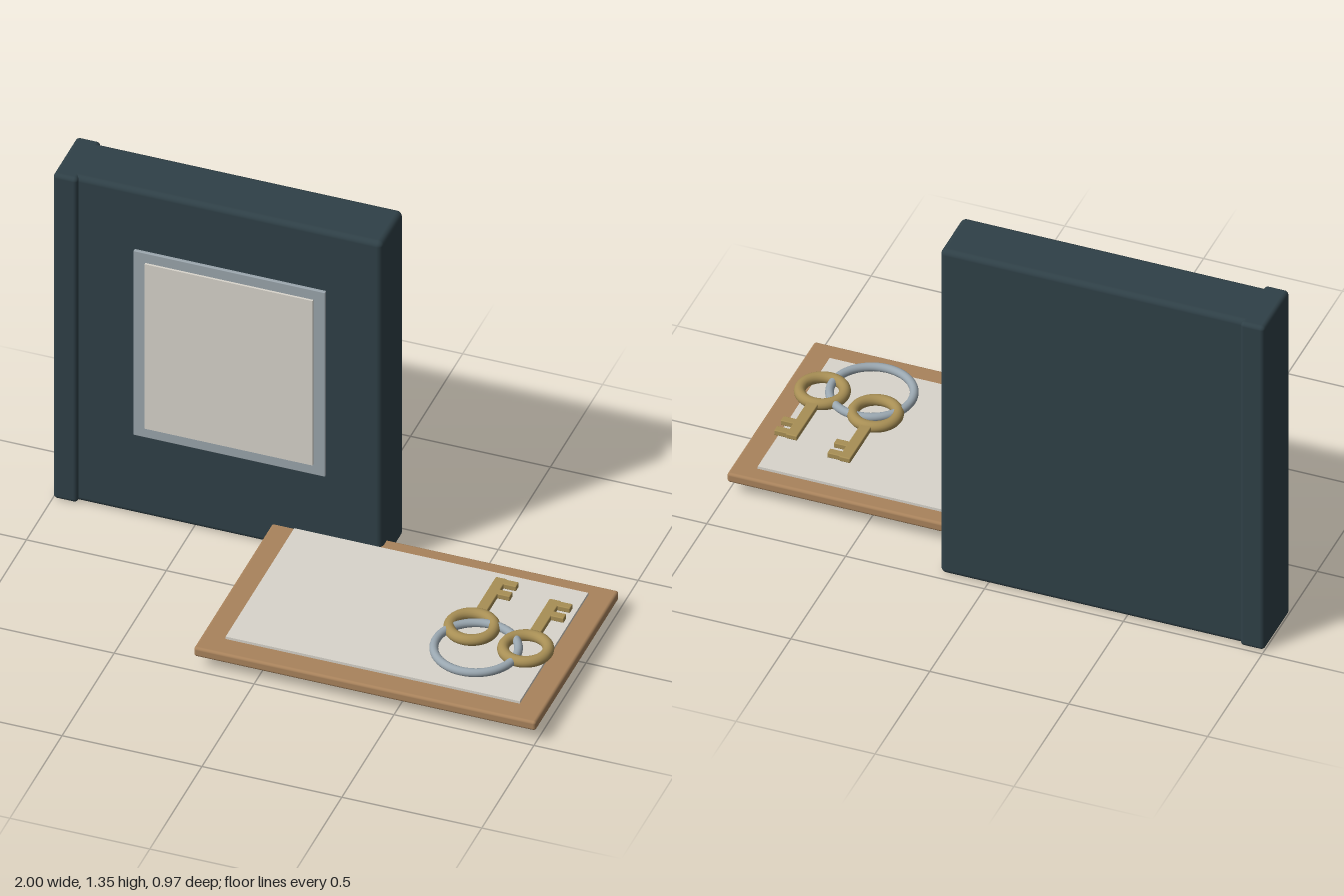
import * as THREE from 'three';
import { RoundedBoxGeometry } from 'three/addons/geometries/RoundedBoxGeometry.js';

const material = (color) => new THREE.MeshStandardMaterial({ color });
const coverMat = material(0x2f4047);
const frameMat = material(0x9aa5ac);
const paperMat = material(0xd8d4cb);
const woodMat = material(0xa9835c);
const steelMat = material(0x9aa7b0);
const brassMat = material(0xa88f55);

// Box from its extents [min, max] on each axis, with optional rounded edges
function box(name, mat, [x0, x1], [y0, y1], [z0, z1], radius = 0) {
  const size = [x1 - x0, y1 - y0, z1 - z0];
  const geometry = radius ? new RoundedBoxGeometry(...size, 3, radius) : new THREE.BoxGeometry(...size);
  const mesh = new THREE.Mesh(geometry, mat);
  mesh.name = name;
  mesh.position.set((x0 + x1) / 2, (y0 + y1) / 2, (z0 + z1) / 2);
  return mesh;
}

// Ring lying flat
function flatRing(name, mat, radius, tube) {
  const mesh = new THREE.Mesh(new THREE.TorusGeometry(radius, tube, 16, 56), mat);
  mesh.name = name;
  mesh.rotation.x = -Math.PI / 2;
  return mesh;
}

// Key centred on its bow, shaft pointing to -z, teeth to +x
function createKey(name, x, z) {
  const key = new THREE.Group();
  key.name = name;
  key.position.set(x, 0.136, z);
  key.add(flatRing('keyBow', brassMat, 0.076, 0.02));
  key.add(box('keyShaft', brassMat, [-0.02, 0.02], [-0.01, 0.01], [-0.283, -0.07], 0.004));
  for (const toothZ of [-0.265, -0.205]) {
    key.add(box('keyTooth', brassMat, [0.01, 0.064], [-0.01, 0.01], [toothZ - 0.014, toothZ + 0.014], 0.003));
  }
  return key;
}

export function createModel() {
  const model = new THREE.Group();
  model.name = 'binderAndKeyTray';

  // Standing binder with a thicker spine and a framed label
  const binder = new THREE.Group();
  binder.name = 'binder';
  binder.add(
    box('binderBody', coverMat, [-0.99, 0.172], [0, 1.345], [-0.473, -0.264], 0.02),
    box('binderSpine', coverMat, [-1, -0.912], [0, 1.345], [-0.485, -0.25], 0.015),
    box('labelFrame', frameMat, [-0.707, -0.022], [0.345, 1.11], [-0.253, -0.24], 0.003),
    box('labelPaper', paperMat, [-0.664, -0.064], [0.388, 1.07], [-0.242, -0.232]),
  );

  // Flat board with a sheet on top
  const tray = new THREE.Group();
  tray.name = 'tray';
  tray.add(
    box('trayBoard', woodMat, [-0.222, 1], [0.047, 0.084], [-0.317, 0.485], 0.01),
    box('traySheet', paperMat, [-0.138, 0.913], [0.082, 0.094], [-0.255, 0.402]),
  );

  // Key ring with two keys
  const keys = new THREE.Group();
  keys.name = 'keys';
  const ring = flatRing('keyRing', steelMat, 0.142, 0.015);
  ring.position.set(0.69, 0.136, 0.222);
  keys.add(ring, createKey('firstKey', 0.635, 0.115), createKey('secondKey', 0.847, 0.168));

  model.add(binder, tray, keys);
  return model;
}
